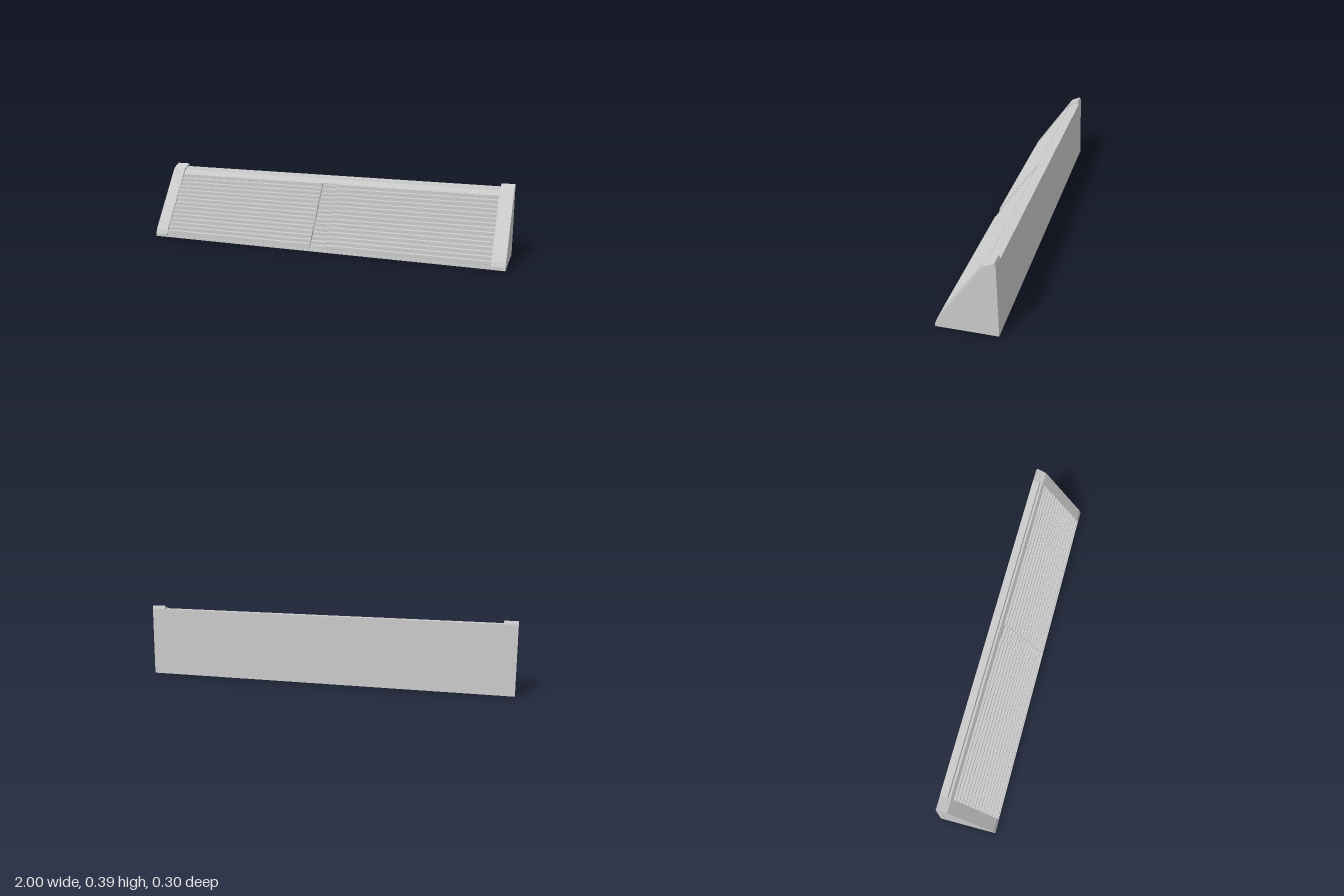
import * as THREE from 'three';

const material = new THREE.MeshStandardMaterial({ color: 0xcccccc });

// Extrudes a side profile of [z, y] points from x0 to x1
function profileMesh(name, points, x0, x1) {
  const shape = new THREE.Shape(points.map(([z, y]) => new THREE.Vector2(z, y)));
  const geometry = new THREE.ExtrudeGeometry(shape, { depth: x1 - x0, bevelEnabled: false });
  geometry.rotateY(-Math.PI / 2);
  geometry.translate(x1, 0, 0);
  const mesh = new THREE.Mesh(geometry, material);
  mesh.name = name;
  return mesh;
}

// Stepped louvre profile climbing from the front lip to the top band
function louvreProfile(count, inset, phase) {
  const bottom = [0.145 - inset, 0.017], top = [-0.076 - inset, 0.335];
  const dz = (top[0] - bottom[0]) / count, dy = (top[1] - bottom[1]) / count;
  const points = [[-0.14, 0.005], [bottom[0], 0.005]];
  for (let i = 0; i < count; i++) {
    const z = bottom[0] + dz * i;
    const y = bottom[1] + dy * (i + 1 - phase);
    points.push([z, y], [z + dz, y + 0.002]);
  }
  points.push([top[0], top[1]], [-0.14, 0.335]);
  return points;
}

export function createModel() {
  const group = new THREE.Group();
  const inner = 0.928, gap = 0.045, slats = 15;

  // End caps
  const cap = [[0.152, 0], [0.152, 0.017], [0.142, 0.043], [-0.07, 0.347], [-0.083, 0.365],
    [-0.134, 0.388], [-0.141, 0.37], [-0.151, 0]];
  group.add(profileMesh('leftEndCap', cap, inner, 1));
  group.add(profileMesh('rightEndCap', cap, -1, -inner));

  // Base with its front lip, and the back panel
  group.add(profileMesh('base', [[-0.1505, 0], [0.151, 0], [0.151, 0.011], [-0.15, 0.011]], -inner, inner));
  group.add(profileMesh('backPanel',
    [[-0.1505, 0.002], [-0.135, 0.002], [-0.135, 0.37], [-0.1415, 0.37]], -inner, inner));

  // Top band above the louvres, with a raised rear strip
  group.add(profileMesh('topBand', [[-0.137, 0.33], [-0.073, 0.33], [-0.073, 0.337], [-0.087, 0.357],
    [-0.098, 0.358], [-0.102, 0.369], [-0.137, 0.37]], -inner, inner));

  // Two louvre banks and the recessed centre section
  group.add(profileMesh('leftLouvres', louvreProfile(slats, 0, 0), gap, inner));
  group.add(profileMesh('rightLouvres', louvreProfile(slats, 0, 0), -inner, -gap));
  group.add(profileMesh('centreLouvres', louvreProfile(slats, 0.01, 0.4), -gap, gap));

  return group;
}
